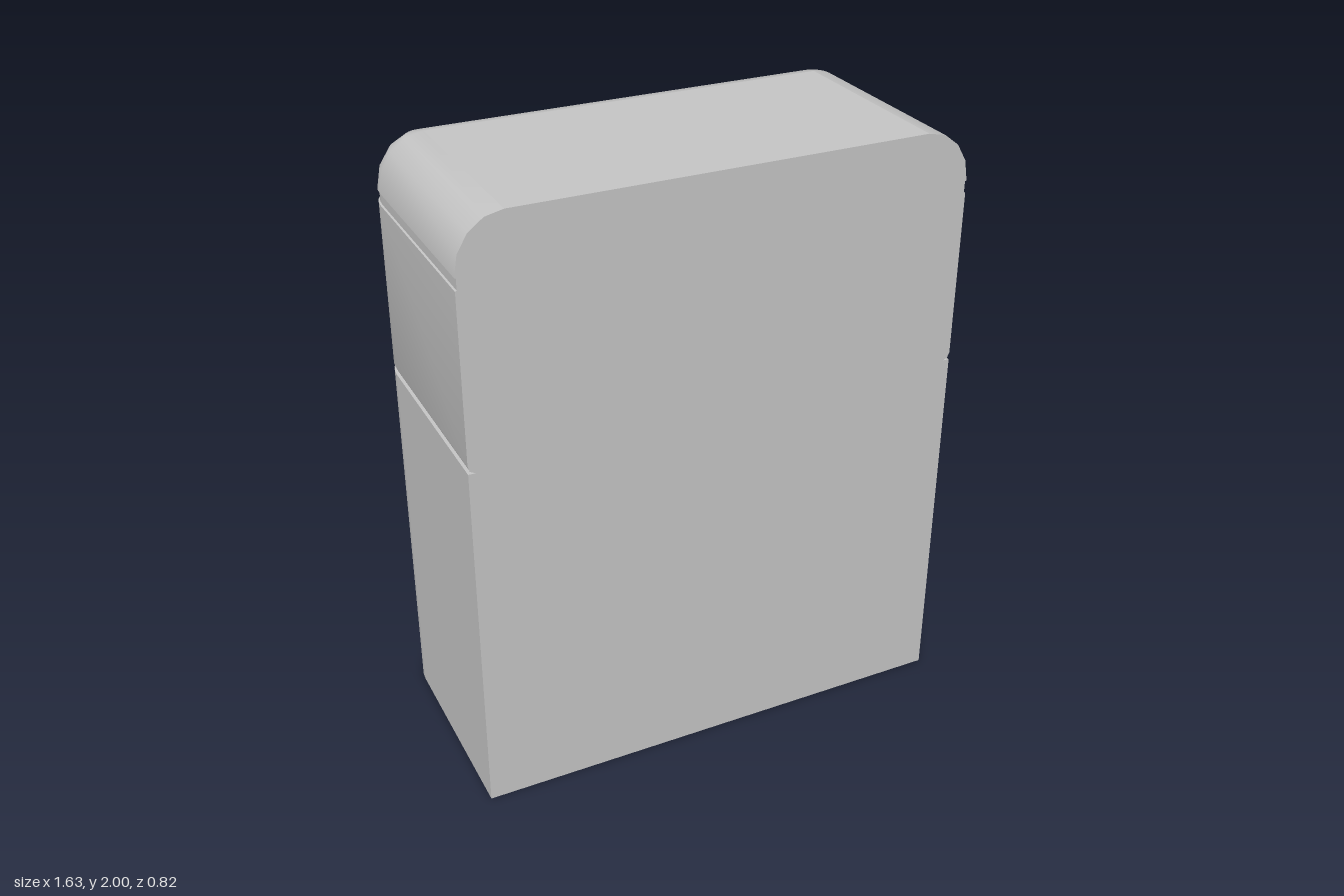
import * as THREE from 'three';
import { mergeGeometries, toCreasedNormals } from 'three/addons/utils/BufferGeometryUtils.js';

const W = 0.815, D = 0.41, R = 0.15, SEAM = 1.22, FLOOR = -0.31;
const CX = W - R, CZ = -D + R;      // centre of the rounded back corner
const ARC_Y = 1.27;                 // centre height of the tongue and pocket arcs

// depth of the base's back surface: shallow centre groove, flat, rounded corner
function backZ(x) {
  if (x > CX) return CZ - Math.sqrt(Math.max(0, R * R - (x - CX) ** 2));
  return -D + 0.06 * THREE.MathUtils.clamp((0.3 - x) / 0.21, 0, 1);
}

// keep the part of a polygon on one side of x = limit
function clipX(pts, limit, sign) {
  const out = [];
  pts.forEach((a, i) => {
    const b = pts[(i + 1) % pts.length];
    const da = (a.x - limit) * sign, db = (b.x - limit) * sign;
    if (da >= 0) out.push(a);
    if (da * db < 0) out.push(a.clone().lerp(b, da / (da - db)));
  });
  return out;
}

// flat polygon whose 2D corners are placed in space by a rule
function face(pts, place) {
  const g = new THREE.ShapeGeometry(new THREE.Shape(pts));
  const p = g.attributes.position;
  for (let i = 0; i < p.count; i++) p.setXYZ(i, ...place(p.getX(i), p.getY(i)));
  g.computeVertexNormals();
  return g;
}

// surface through rows of points
function loft(rows) {
  const n = rows[0].length, idx = [];
  for (let r = 0; r < rows.length - 1; r++) {
    for (let i = 0; i < n - 1; i++) {
      const a = r * n + i, b = a + 1, c = a + n, d = c + 1;
      idx.push(a, c, b, b, c, d);
    }
  }
  const g = new THREE.BufferGeometry();
  g.setAttribute('position', new THREE.Float32BufferAttribute(rows.flat(2), 3));
  g.setIndex(idx);
  g.computeVertexNormals();
  return g;
}

const v = (x, y) => new THREE.Vector2(x, y);

// half of the pocket rim: rounded end, long arc, narrow neck, flared foot
function pocketRim() {
  const pts = [v(0.43, 1.18), v(0.58, 1.185), v(0.63, 1.178), v(0.67, 1.155), v(0.694, 1.125)];
  for (let i = 0; i <= 20; i++) {
    const a = THREE.MathUtils.degToRad(-15 - 63 * i / 20);
    pts.push(v(0.715 * Math.cos(a), ARC_Y + 0.715 * Math.sin(a)));
  }
  pts.push(v(0.115, 0.562), v(0.092, 0.54), v(0.086, 0.505), v(0.095, 0.465), v(0.12, 0.425), v(0.158, 0.39), v(0, 0.39));
  return pts;
}

// plan outline of the lid, inset from the sides and back
function lidRow(inset, y) {
  const r = R - inset, row = [[CX + r, y, D]];
  for (let i = 0; i <= 8; i++) {
    const a = i / 8 * Math.PI / 2;
    row.push([CX + r * Math.cos(a), y, CZ - r * Math.sin(a)]);
  }
  return row.concat(row.map(([x, h, z]) => [-x, h, z]).reverse());
}

// half disc hanging below the seam, with rounded edges, ending at zBack
function halfDisc(radius, zBack, bevel) {
  const s = new THREE.Shape();
  s.moveTo(-radius, ARC_Y);
  s.absarc(0, ARC_Y, radius, Math.PI, 2 * Math.PI, false);
  const g = new THREE.ExtrudeGeometry(s, {
    depth: D - 0.01 - zBack - 2 * bevel, bevelSize: bevel, bevelThickness: bevel,
    bevelOffset: -bevel, bevelSegments: 4, curveSegments: 40,
  });
  g.translate(0, 0, zBack + bevel);
  return toCreasedNormals(g, 0.6);
}

export function createModel() {
  const model = new THREE.Group();
  const grey = new THREE.MeshStandardMaterial({ color: 0xc4c4c4, side: THREE.DoubleSide });
  grey.name = 'plain grey';
  const add = (parent, name, geometry) => {
    const m = new THREE.Mesh(geometry, grey);
    m.name = name;
    parent.add(m);
    return m;
  };

  // base: back surface in strips around the pocket
  const rim = pocketRim();
  const outline = [v(0, 0), v(W, 0), v(W, SEAM), v(0.43, SEAM), ...rim];
  const xs = [0, 0.09, 0.3];
  for (let i = 0; i <= 8; i++) xs.push(i === 8 ? W : CX + R * Math.sin(i / 8 * Math.PI / 2));
  const strips = [];
  for (let i = 0; i < xs.length - 1; i++) {
    const poly = clipX(clipX(outline, xs[i], 1), xs[i + 1], -1);
    strips.push(face(poly, (x, y) => [x, y, backZ(x)]));
  }
  const backGeo = toCreasedNormals(mergeGeometries(strips), 0.5);

  // pocket wall: rounded lip running down to the floor
  const normals = rim.map((p, i) => {
    const a = rim[Math.max(0, i - 1)], b = rim[Math.min(rim.length - 1, i + 1)];
    return v(b.y - a.y, a.x - b.x).normalize();
  });
  normals[normals.length - 1].set(0, 1);
  const wallGeo = loft([[0, 0], [0.006, 0.05], [0.014, 0.17], [0.02, 0.4], [0.024, 1]].map(([off, t]) =>
    rim.map((p, i) => [p.x + normals[i].x * off, p.y + normals[i].y * off,
      THREE.MathUtils.lerp(backZ(p.x), FLOOR, t)])));

  const sideGeo = loft([[[W, 0, D], [W, 0, CZ]], [[W, SEAM, D], [W, SEAM, CZ]]]);
  for (const s of [1, -1]) {
    const half = new THREE.Group();
    half.name = s > 0 ? 'leftBaseHalf' : 'rightBaseHalf';
    half.scale.x = s;
    add(half, 'baseBack', backGeo);
    add(half, 'pocketWall', wallGeo);
    add(half, 'baseSide', sideGeo);
    // raised studs on the pocket floor
    for (const [x, y] of [[0.575, 1.05], [0.525, 0.935]]) {
      const stud = new THREE.CylinderGeometry(0.032, 0.044, 0.045, 24).rotateX(-Math.PI / 2);
      add(half, 'stud', stud).position.set(x, y, FLOOR - 0.022);
      const tip = new THREE.CylinderGeometry(0.016, 0.02, 0.02, 20).rotateX(-Math.PI / 2);
      add(half, 'studTip', tip).position.set(x, y, FLOOR - 0.053);
    }
    model.add(half);
  }

  // base: front, floor of the pocket, underside and top
  const rect = (x, y0, y1) => [v(-x, y0), v(x, y0), v(x, y1), v(-x, y1)];
  add(model, 'baseFront', face(rect(W, 0, SEAM), (x, y) => [x, y, D]));
  add(model, 'pocketFloor', face(rect(0.72, 0.38, SEAM), (x, y) => [x, y, FLOOR]).scale(1, 1, 1));
  const plan = [v(W, D), ...xs.slice().reverse().map(x => v(x, backZ(x))),
    ...xs.slice(1).map(x => v(-x, backZ(x))), v(-W, D)];
  add(model, 'baseUnderside', face(plan, (x, z) => [x, 0, z]));
  add(model, 'baseTop', face(plan, (x, z) => [x, SEAM - 0.002, z]));

  // lid: eased lower edge, thin band line, rounded top
  const levels = [[0.022, SEAM], [0.007, 1.228], [0, 1.245], [0, 1.79], [0.005, 1.793], [0.005, 1.827], [0, 1.83]];
  for (let i = 1; i <= 4; i++) {
    const a = i / 4 * Math.PI / 2;
    levels.push([R * (1 - Math.cos(a)), 1.83 + 0.17 * Math.sin(a)]);
  }
  add(model, 'lidShell', toCreasedNormals(loft(levels.map(([i, y]) => lidRow(i, y))), 0.6));
  const edge = levels.map(([i, y]) => v(W - i, y));
  const front = [...edge, ...edge.map(p => v(-p.x, p.y)).reverse()];
  add(model, 'lidFront', face(front, (x, y) => [x, y, D]));
  for (const [name, [inset, y]] of [['lidUnderside', levels[0]], ['lidTop', levels[levels.length - 1]]]) {
    add(model, name, face(lidRow(inset, y).map(p => v(p[0], p[2])), (x, z) => [x, y, z]));
  }

  // tongue of the lid and the ledge beneath it
  add(model, 'lidTongue', halfDisc(0.44, -D, 0.02));
  add(model, 'tongueLedge', halfDisc(0.495, -0.355, 0.025));
  return model;
}
